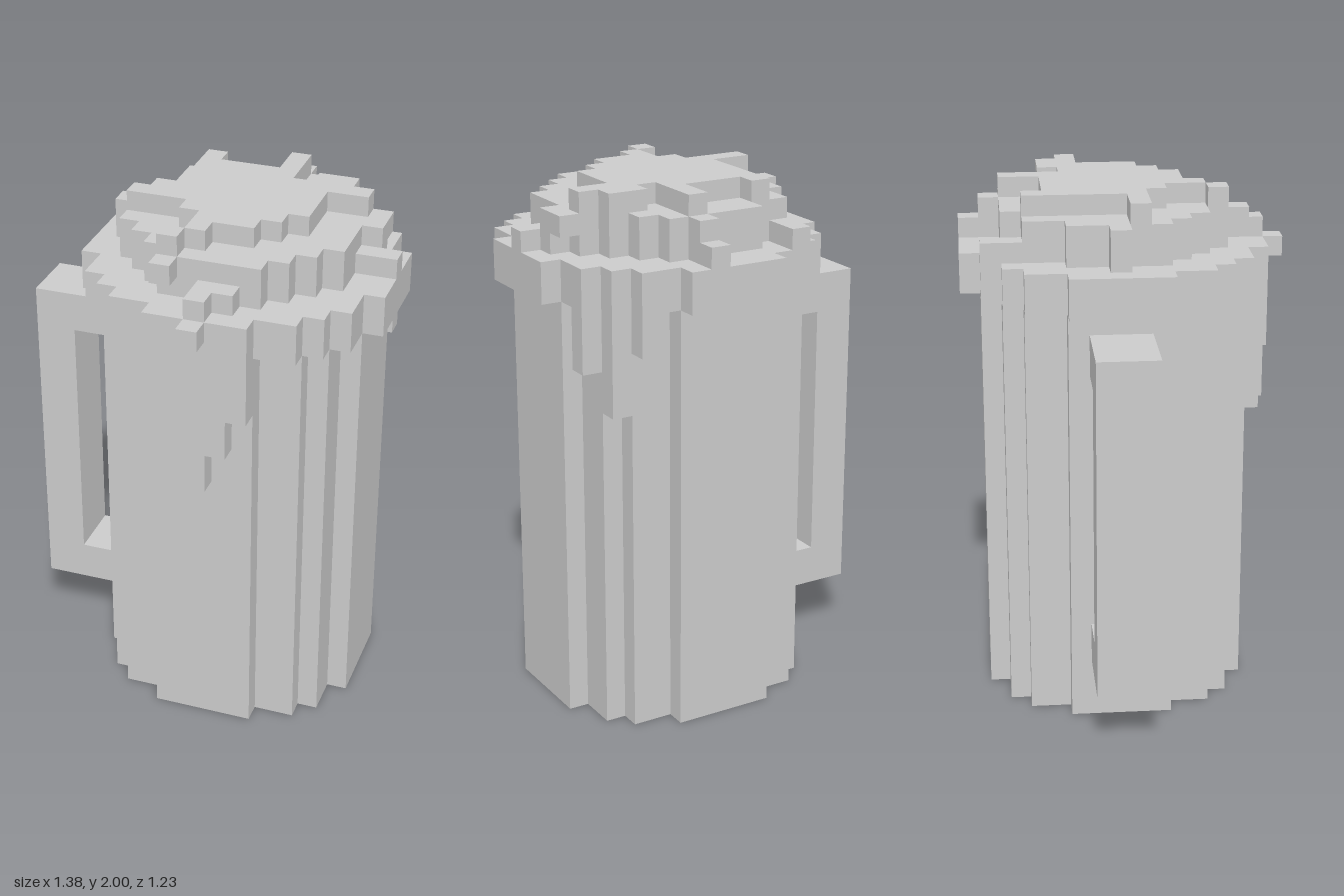
import * as THREE from 'three';

const U = 2 / 26; // size of one voxel
const material = new THREE.MeshStandardMaterial({ color: 0xcccccc, flatShading: true });

function add(parent, name, geometry) {
  geometry.scale(U, U, U);
  const mesh = new THREE.Mesh(geometry, material);
  mesh.name = name;
  parent.add(mesh);
}

// box between voxel limits on each axis
function box(parent, name, [x0, x1], [y0, y1], [z0, z1]) {
  const g = new THREE.BoxGeometry(x1 - x0, y1 - y0, z1 - z0);
  g.translate((x0 + x1) / 2, (y0 + y1) / 2, (z0 + z1) / 2);
  add(parent, name, g);
}

// stepped round prism; steps are [half width, reach in depth], widest first
function steppedDisc(parent, name, steps, y0, y1) {
  const quarter = [];
  let reach = 0;
  for (const [w, d] of steps) {
    if (reach > 0) quarter.push([w, reach]);
    quarter.push([w, d]);
    reach = d;
  }
  const half = [...quarter, ...quarter.map(([x, z]) => [-x, z]).reverse()];
  const outline = [...half, ...half.map(([x, z]) => [-x, -z])];
  const shape = new THREE.Shape(outline.map(([x, z]) => new THREE.Vector2(x, z)));
  const g = new THREE.ExtrudeGeometry(shape, { depth: y1 - y0, bevelEnabled: false });
  g.rotateX(-Math.PI / 2);
  g.translate(1.5, y0, -0.5);
  add(parent, name, g);
}

export function createModel() {
  const mug = new THREE.Group();
  mug.name = 'mug';

  // tall body
  steppedDisc(mug, 'body', [[6.5, 2.5], [5.5, 4.5], [4.5, 5.5], [2.5, 6.5]], 0, 21);

  // square handle on the right
  const handle = new THREE.Group();
  handle.name = 'handle';
  mug.add(handle);
  box(handle, 'handleGrip', [-9, -7], [3, 20], [-2, 1]);
  box(handle, 'handleTop', [-7, -5], [18, 20], [-2, 1]);
  box(handle, 'handleBottom', [-7, -5], [3, 5], [-2, 1]);

  // foam: overhanging rim and raised layer
  const foam = new THREE.Group();
  foam.name = 'foam';
  mug.add(foam);
  steppedDisc(foam, 'foamRim', [[7.5, 2.5], [6.5, 4.5], [5.5, 5.5], [4.5, 6.5], [2.5, 7.5]], 21, 23);
  steppedDisc(foam, 'foamLayer', [[5.5, 2.5], [4.5, 3.5], [3.5, 4.5], [2.5, 5.5]], 23, 25);

  // irregular foam cap: rows of [x0, x1, z0, z1]
  const capRows = [
    [2, 3, -6, -4], [-2, -1, -5, -4], [-2, 3, -4, -3], [4, 6, -4, -3], [-2, 7, -3, -2],
    [-2, 5, -2, 0], [-4, 5, 0, 1], [-1, 4, 1, 2], [0, 3, 2, 3], [0, 1, 3, 4], [-1, 0, 4, 5],
  ];
  for (const [x0, x1, z0, z1] of capRows) box(foam, 'foamCap', [x0, x1], [25, 26], [z0, z1]);

  // foam lumps running over the rim: [x0, x1, y0, y1, z0, z1]
  const lumps = [
    [-1, 0, 24, 25, 5, 6],
    [1, 3, 23, 24, 5, 6], [1, 2, 23, 24, 6, 7], [1, 2, 22, 23, 7, 8],
    [7, 8, 23, 25, -2, -1], [7, 8, 24, 25, -3, -2], [7, 9, 23, 24, -1, 0],
    [2, 3, 23, 25, -7, -6], [2, 3, 23, 24, -8, -7],
    [-3, -2, 23, 25, -5, -3], [-3, -2, 23, 24, -7, -5],
    [-5, -4, 23, 25, -1, 0],
  ];
  for (const [x0, x1, y0, y1, z0, z1] of lumps) box(foam, 'foamLump', [x0, x1], [y0, y1], [z0, z1]);

  // drips down the body: [x, z, lowest y]
  const drips = [
    [-2, 5, 19], [-1, 6, 18], [0, 6, 15], [1, 6, 14], [2, 6, 16], [3, 6, 18],
    [7, -5, 18], [6, -6, 16], [5, -7, 19],
  ];
  for (const [x, z, y] of drips) box(foam, 'foamDrip', [x, x + 1], [y, 21], [z, z + 1]);

  return mug;
}
